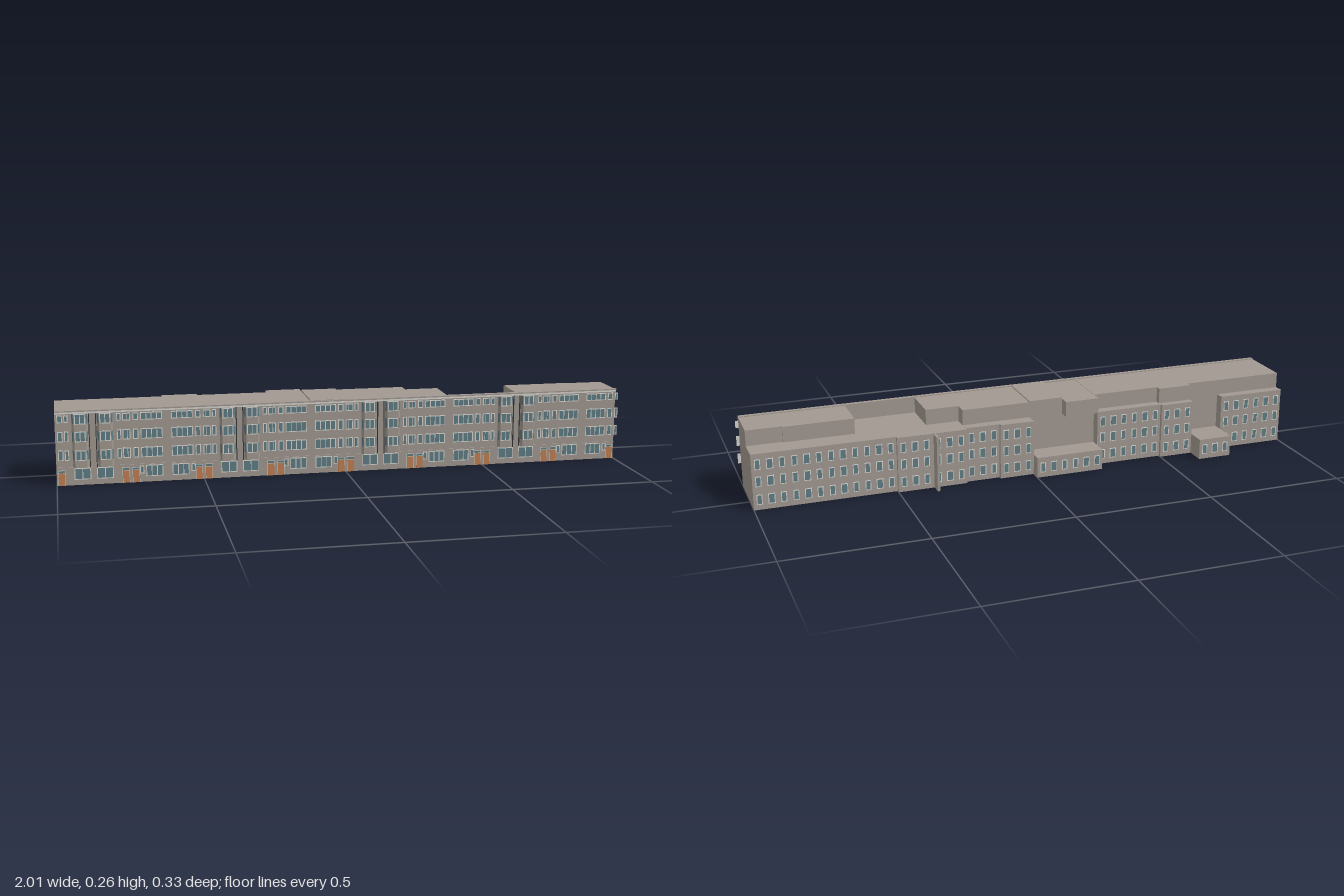
import * as THREE from 'three';

const mat = (name, color) => Object.assign(new THREE.MeshStandardMaterial({ color }), { name });
const wall = mat('wall stone', 0xa19890);
const glass = mat('window glass', 0x5e7c84);
const frame = mat('pale frame', 0xd6d4ce);
const wood = mat('door wood', 0xc07e52);
const dark = mat('dark metal', 0x35383a);

// Box given by its limits on each axis
function box(parent, name, m, x0, x1, y0, y1, z0, z1) {
  const mesh = new THREE.Mesh(new THREE.BoxGeometry(x1 - x0, y1 - y0, z1 - z0), m);
  mesh.position.set((x0 + x1) / 2, (y0 + y1) / 2, (z0 + z1) / 2);
  mesh.name = name;
  parent.add(mesh);
  return mesh;
}

// Framed window on a wall at depth z, facing dir (+1 front, -1 back), with panes side by side
function windowUnit(parent, x, y, w, h, z, dir, panes = 1) {
  const g = new THREE.Group();
  g.name = 'window';
  g.position.set(x, y, z);
  if (dir < 0) g.rotation.y = Math.PI;
  const b = 0.003;
  box(g, 'windowFrame', frame, -w / 2, w / 2, -h / 2, h / 2, 0, 0.0014);
  const step = (w - b) / panes;
  for (let i = 0; i < panes; i++) {
    const x0 = -w / 2 + b + i * step;
    box(g, 'windowGlass', glass, x0, x0 + step - b, -h / 2 + b, h / 2 - b, 0, 0.002);
  }
  parent.add(g);
}

const FRONT = 0.15;
const FLOORS = [0.105, 0.17, 0.231];

// Canted bay running up three storeys
function bay(parent, x) {
  const g = new THREE.Group();
  g.name = 'bay';
  g.position.set(x, 0, FRONT);
  const s = new THREE.Shape([[-0.027, 0], [0.027, 0], [0.02, 0.0115], [-0.02, 0.0115]].map(p => new THREE.Vector2(...p)));
  const geo = new THREE.ExtrudeGeometry(s, { depth: 0.186, bevelEnabled: false });
  geo.rotateX(-Math.PI / 2);
  geo.scale(1, 1, -1);
  // Mirroring turned the faces inside out, so swap two corners of each
  const p = geo.attributes.position;
  for (let i = 0; i < p.count; i += 3) {
    const a = new THREE.Vector3().fromBufferAttribute(p, i + 1);
    const b = new THREE.Vector3().fromBufferAttribute(p, i + 2);
    p.setXYZ(i + 1, b.x, b.y, b.z);
    p.setXYZ(i + 2, a.x, a.y, a.z);
  }
  geo.computeVertexNormals();
  const body = new THREE.Mesh(geo, wall);
  body.name = 'bayBody';
  body.position.y = 0.062;
  g.add(body);
  for (const y of FLOORS) {
    windowUnit(g, 0, y, 0.036, 0.036, 0.0112, 1, 2);
    for (const side of [-1, 1]) {
      const pane = box(g, 'baySideGlass', glass, -0.0045, 0.0045, y - 0.016, y + 0.016, -0.0008, 0.0008);
      pane.position.x = side * 0.0235;
      pane.position.z = 0.0058;
      pane.rotation.y = side * Math.atan2(0.0115, 0.007);
    }
  }
  parent.add(g);
}

function buildBody(root) {
  const g = new THREE.Group();
  g.name = 'body';
  // Lower three storeys, with rear yards set in behind the low extensions
  const lower = [
    [-1, -0.75, -0.08], [-0.75, -0.625, -0.045], [-0.625, -0.5, -0.092], [-0.5, -0.25, -0.08],
    [-0.25, 0, -0.045], [0, 0.125, -0.092], [0.125, 0.25, -0.08], [0.25, 0.5, -0.092], [0.5, 1, -0.08],
  ];
  for (const [a, b, z] of lower) box(g, 'lowerStoreys', wall, a, b, 0, 0.201, z, FRONT);
  // Top storey: rear wall depth and roof height change from house to house
  const upper = [
    [-1, -0.625, -0.045, 0.257], [-0.625, -0.5, -0.065, 0.257], [-0.5, -0.25, -0.045, 0.257],
    [-0.25, -0.125, -0.085, 0.256], [-0.125, 0, -0.045, 0.261], [0, 0.25, -0.045, 0.257],
    [0.25, 0.37, 0.002, 0.257], [0.625, 0.875, 0, 0.257], [0.875, 1, 0.006, 0.257],
  ];
  for (const [a, b, z, top] of upper) box(g, 'topStorey', wall, a, b, 0.2, top, z, FRONT);
  // Open roof court behind the front parapet
  box(g, 'courtParapet', wall, 0.37, 0.625, 0.2, 0.257, 0.144, FRONT);
  // Party wall fin at the rear
  box(g, 'partyWall', wall, 0.361, 0.37, 0, 0.2, -0.13, -0.08);
  // Single storey rear extensions
  box(g, 'rearExtension', wall, -0.25, 0, 0, 0.075, -0.13, -0.04);
  box(g, 'rearExtension', wall, -0.75, -0.625, 0, 0.075, -0.162, -0.04);
  root.add(g);
}

function buildBack(root) {
  const g = new THREE.Group();
  g.name = 'rearWindows';
  for (let i = 0; i < 16; i++) {
    const x0 = -1 + i * 0.125;
    const low = i === 2 || i === 6 || i === 7;
    const proud = [3, 8, 10, 11].includes(i);
    const z = i === 2 ? -0.162 : low ? -0.13 : proud ? -0.092 : -0.08;
    for (let k = 0; k < 3; k++) {
      const x = x0 + 0.021 + k * 0.0415;
      for (const y of low ? [0.037] : [0.037, 0.102, 0.163])
        windowUnit(g, x, y, k === 1 ? 0.024 : 0.02, 0.037, z, -1);
    }
    // Slim eaves above the rear wall
    if (!low) box(g, 'rearEaves', wall, x0, x0 + 0.125, 0.199, 0.203, z - 0.004, z + 0.01);
  }
  root.add(g);
}

function buildFront(root) {
  const g = new THREE.Group();
  g.name = 'frontFacade';
  for (let n = 0; n < 4; n++) {
    const c = -0.875 + n * 0.5;   // middle of a bayed pair
    const p = c + 0.25;           // middle of a plain pair
    for (const s of [-1, 1]) {
      bay(g, c + s * 0.042);
      // Rainwater pipes beside the bays
      box(g, 'downpipe', dark, c + s * 0.0115 - 0.0015, c + s * 0.0115 + 0.0015, 0.06, 0.25, FRONT, FRONT + 0.004);
      for (const y of FLOORS) {
        const h = y > 0.2 ? 0.026 : 0.036;
        windowUnit(g, c + s * 0.088, y, 0.014, h, FRONT, 1);
        windowUnit(g, c + s * 0.109, y, 0.018, h, FRONT, 1);
        windowUnit(g, p + s * 0.052, y, 0.074, h, FRONT, 1, 4);
        windowUnit(g, p + s * 0.106, y, 0.018, h, FRONT, 1);
        windowUnit(g, p + s * 0.13, y, 0.012, h, FRONT, 1);
      }
      // Ground floor shop-sized windows
      windowUnit(g, c + s * 0.038, 0.039, 0.056, 0.04, FRONT, 1, 2);
      windowUnit(g, p + s * 0.045, 0.039, 0.058, 0.04, FRONT, 1, 3);
      windowUnit(g, p + s * 0.088, 0.044, 0.014, 0.028, FRONT, 1);
      // Door pairs either side of each party wall
      for (const [m, t] of [[c, -1], [p, 1]]) {
        const x = m + s * 0.125 - s * 0.017;
        const name = t > 0 ? 'plainHouseDoor' : 'bayHouseDoor';
        box(g, 'doorFrame', frame, x - 0.0125, x + 0.0125, 0, 0.053, FRONT, FRONT + 0.001);
        box(g, name, wood, x - 0.011, x + 0.011, 0, 0.043, FRONT, FRONT + 0.002);
        box(g, 'doorLight', glass, x - 0.011, x + 0.011, 0.0445, 0.0515, FRONT, FRONT + 0.002);
      }
    }
  }
  // String course over the ground floor and the eaves cornice
  box(g, 'stringCourse', wall, -1, 1, 0.06, 0.064, FRONT, FRONT + 0.003);
  box(g, 'corniceFascia', frame, -1, 1, 0.249, 0.2555, FRONT, FRONT + 0.006);
  box(g, 'corniceTop', wall, -1, 1, 0.2555, 0.26, FRONT - 0.006, FRONT + 0.009);
  root.add(g);
}

export function createModel() {
  const root = new THREE.Group();
  root.name = 'terrace';
  buildBody(root);
  buildBack(root);
  buildFront(root);
  return root;
}
